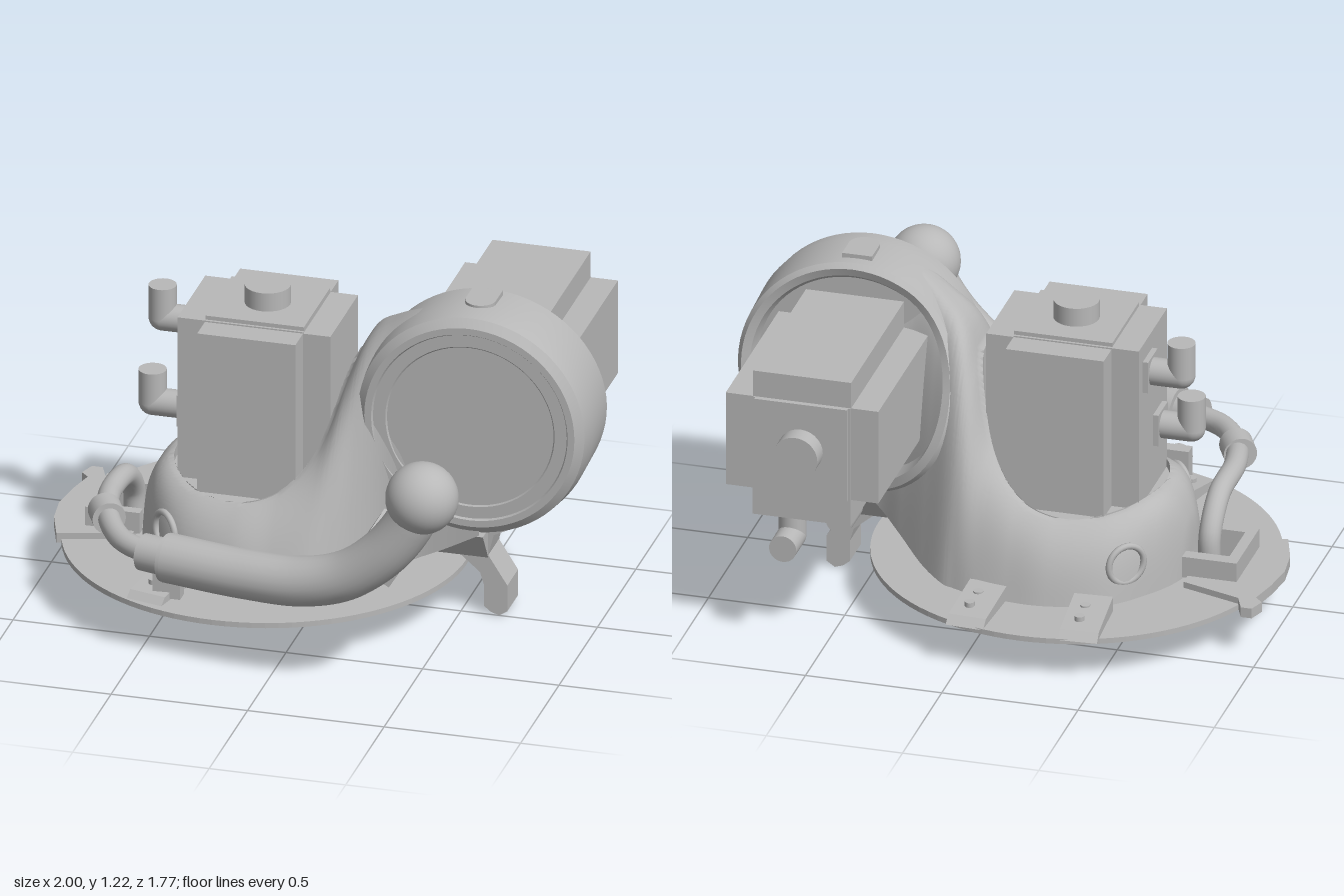
import * as THREE from 'three';
import { toCreasedNormals } from 'three/addons/utils/BufferGeometryUtils.js';

const V = (x, y, z) => new THREE.Vector3(x, y, z);

export function createModel() {
  const model = new THREE.Group();
  const grey = new THREE.MeshStandardMaterial({ color: 0xb8b8b8 });
  grey.name = 'castGrey';

  const add = (name, geo, parent = model) => {
    const m = new THREE.Mesh(geo, grey);
    m.name = name;
    parent.add(m);
    return m;
  };
  // Box given by its minimum and maximum corners
  const box = (name, a, b, parent) => {
    const m = add(name, new THREE.BoxGeometry(b[0] - a[0], b[1] - a[1], b[2] - a[2]), parent);
    m.position.set((a[0] + b[0]) / 2, (a[1] + b[1]) / 2, (a[2] + b[2]) / 2);
    return m;
  };
  // Cylinder between two points
  const rod = (name, a, b, r, parent) => {
    const d = b.clone().sub(a);
    const m = add(name, new THREE.CylinderGeometry(r, r, d.length(), 28), parent);
    m.position.copy(a).addScaledVector(d, 0.5);
    m.quaternion.setFromUnitVectors(V(0, 1, 0), d.normalize());
    return m;
  };
  const tube = (name, pts, r) =>
    add(name, new THREE.TubeGeometry(new THREE.CatmullRomCurve3(pts.map(p => V(...p))), 48, r, 20));
  const outline = pts => new THREE.Shape(pts.map(p => new THREE.Vector2(p[0], p[1])));
  const extrude = (shape, depth) =>
    new THREE.ExtrudeGeometry(shape, { depth, bevelEnabled: false, curveSegments: 48 });
  // Horizontal plate from a shape drawn in x and -z
  const slab = (name, shape, y, h) => {
    const m = add(name, extrude(shape, h).rotateX(-Math.PI / 2));
    m.position.y = y;
    return m;
  };

  // Base flange with its centre hole and connector slot
  const cx = -0.23, cz = -0.08;
  const slot = () => outline([[-0.82, 0.18], [-0.68, 0.18], [-0.68, -0.02], [-0.82, -0.02]]);
  const disc = r => {
    const s = new THREE.Shape().absarc(cx, -cz, r, 0, Math.PI * 2);
    s.holes.push(new THREE.Path().absarc(cx, -cz, 0.21, 0, Math.PI * 2, true));
    return s;
  };
  const flange = disc(0.728);
  flange.holes.push(slot());
  slab('baseFlange', flange, 0.145, 0.02);
  slab('baseSpigot', disc(0.45), 0.138, 0.01);

  // Connector plate on the right rim
  const plate = outline([[-0.68, 0.28], [-0.9, 0.35], [-0.93, 0.42], [-0.97, 0.42], [-0.99, 0.36],
    [-0.96, 0.33], [-0.985, 0.22], [-1, 0.1], [-0.985, -0.02], [-0.94, -0.15], [-0.68, -0.08]]);
  plate.holes.push(slot());
  slab('connectorPlate', plate, 0.15, 0.038);
  box('connectorBar', [-0.86, 0.18, 0.02], [-0.66, 0.26, 0.06]);
  box('connectorBar', [-0.86, 0.18, -0.23], [-0.66, 0.26, -0.18]);
  box('connectorBar', [-0.86, 0.18, -0.2], [-0.82, 0.26, 0.04]);

  // Wedge clamps and their bolts
  for (const [x, z, turn] of [[-0.43, -0.66, 0.06], [-0.03, -0.66, -0.06], [-0.47, 0.45, 2.9]]) {
    const clamp = new THREE.Group();
    clamp.name = 'flangeClamp';
    clamp.position.set(x, 0, z);
    clamp.rotation.y = turn;
    model.add(clamp);
    const wedge = extrude(outline([[-0.13, 0.16], [0.13, 0.16], [0.13, 0.22], [-0.1, 0.19]]), 0.14);
    wedge.rotateY(-Math.PI / 2).translate(0.07, 0, 0);
    add('clampWedge', wedge, clamp);
    for (const bz of [-0.03, 0.06])
      rod('clampBolt', V(0.015, 0.18, bz), V(0.015, 0.215, bz), 0.018, clamp);
  }

  // Swept body: x, bottom y, top y, then front and back z at bottom and at top
  const rows = [
    [-0.67, 0.16, 0.2, -0.06, -0.1, -0.06, -0.1],
    [-0.65, 0.16, 0.36, 0.06, -0.23, 0.02, -0.18],
    [-0.58, 0.16, 0.47, 0.19, -0.36, 0.15, -0.31],
    [-0.45, 0.16, 0.49, 0.33, -0.5, 0.26, -0.43],
    [-0.25, 0.16, 0.5, 0.4, -0.56, 0.32, -0.49],
    [-0.1, 0.16, 0.56, 0.39, -0.56, 0.29, -0.46],
    [0.02, 0.16, 0.69, 0.37, -0.54, 0.23, -0.4],
    [0.1, 0.16, 0.9, 0.31, -0.51, 0.17, -0.36],
    [0.16, 0.17, 1.02, 0.24, -0.48, 0.14, -0.3],
    [0.25, 0.19, 1.09, 0.17, -0.4, 0.12, -0.21],
    [0.36, 0.24, 1.15, 0.13, -0.29, 0.12, -0.13],
    [0.47, 0.29, 1.18, 0.12, -0.19, 0.12, -0.12],
    [0.6, 0.36, 1.19, 0.12, -0.14, 0.12, -0.12]];
  const curves = [[0, 1, 2], [3, 4, 5], [6, 6, 6]].map(c =>
    new THREE.CatmullRomCurve3(rows.map(r => V(r[c[0]], r[c[1]], r[c[2]])), false, 'catmullrom'));
  const pos = [], index = [], nu = 150, nv = 121, bore = 0.33;
  for (let i = 0; i <= nu; i++) {
    const [a, b, c] = curves.map(k => k.getPoint(i / nu));
    for (let j = 0; j < nv; j++) {
      const t = (j / (nv - 1)) * Math.PI, co = Math.cos(t);
      const u = Math.sign(co) * Math.abs(co) ** 0.6;
      const s = Math.max(0, Math.sin(t)) ** 0.6;
      const zf = b.x + (b.z - b.x) * s, zb = b.y + (c.x - b.y) * s;
      let x = a.x, y = a.y + (a.z - a.y) * s, z = (zf + zb) / 2 + (zf - zb) / 2 * u;
      // Bore for the turning motor: sink what lies inside, draw its edge onto the circle
      const r = Math.hypot(x - cx, z - cz);
      if (y > 0.44 && r < bore) {
        y = 0.44;
        if (r > bore - 0.012) {
          x = cx + (x - cx) * bore / r;
          z = cz + (z - cz) * bore / r;
        }
      } else if (y > 0.44 && r < bore + 0.012) {
        x = cx + (x - cx) * bore / r;
        z = cz + (z - cz) * bore / r;
      }
      pos.push(x, y, z);
    }
  }
  for (let i = 0; i < nu; i++) for (let j = 0; j < nv; j++) {
    const k = (j + 1) % nv, p = i * nv, q = p + nv;
    index.push(p + j, q + j, q + k, p + j, q + k, p + k);
  }
  const loft = new THREE.BufferGeometry();
  loft.setAttribute('position', new THREE.Float32BufferAttribute(pos, 3));
  loft.setIndex(index);
  add('castBody', toCreasedNormals(loft, 0.7));

  // Shoulder drum: covered in front, recessed behind, its rear rim flaring into the body
  const drum = new THREE.LatheGeometry([[0, -0.125], [0.355, -0.125], [0.37, -0.18], [0.4, -0.19],
    [0.417, -0.17], [0.425, 0.04], [0.415, 0.115], [0.385, 0.14], [0.36, 0.14], [0.355, 0.132],
    [0.31, 0.132], [0.305, 0.127], [0, 0.127]].map(p => new THREE.Vector2(...p)), 72);
  drum.rotateX(Math.PI / 2);
  const dp = drum.attributes.position;
  for (let i = 0; i < dp.count; i++) {
    const x = dp.getX(i), y = dp.getY(i), z = dp.getZ(i), r = Math.hypot(x, y);
    if (z > -0.15 || r < 0.36) continue;
    const flare = Math.max(0, (-0.85 * x - 0.53 * y) / r) ** 2;
    dp.setZ(i, z + 0.035 * Math.max(0, y / r) - 0.18 * flare);
  }
  add('shoulderDrum', toCreasedNormals(drum, 0.5)).position.set(0.57, 0.785, 0);
  box('drumPad', [0.515, 1.19, -0.1], [0.625, 1.218, 0.0]);
  rod('drumPad', V(0.57, 1.19, -0.01), V(0.57, 1.218, -0.01), 0.055);

  // Servo motor: axis up, plugs towards -x, top at the origin
  const motor = name => {
    const g = new THREE.Group();
    g.name = name;
    model.add(g);
    box('motorCore', [-0.28, -0.68, -0.18], [0.18, 0, 0.18], g);
    box('motorSidePlate', [0.18, -0.68, -0.18], [0.28, -0.005, 0.18], g);
    for (const s of [-1, 1])
      box('motorSidePlate', [-0.18, -0.68, s * 0.23 - 0.05], [0.18, -0.005, s * 0.23 + 0.05], g);
    box('motorLid', [-0.18, 0, -0.17], [0.18, 0.015, 0.17], g);
    rod('motorCap', V(0, 0, 0), V(0, 0.085, 0), 0.082, g);
    for (const [y, z] of [[-0.125, -0.07], [-0.395, 0.06]]) {
      box('plugFlange', [-0.3, y - 0.06, z - 0.06], [-0.28, y + 0.06, z + 0.06], g);
      rod('plugStub', V(-0.29, y, z), V(-0.405, y, z), 0.05, g);
      add('plugElbow', new THREE.SphereGeometry(0.05, 20, 14), g).position.set(-0.405, y, z);
      rod('plugSocket', V(-0.405, y, z), V(-0.405, y + 0.125, z), 0.05, g);
    }
    return g;
  };
  motor('turningMotor').position.set(cx, 1.06, cz);
  const swing = motor('swingMotor');
  swing.position.set(0.57, 0.79, -0.805);
  swing.setRotationFromMatrix(new THREE.Matrix4().makeBasis(V(0, 1, 0), V(0, 0, -1), V(-1, 0, 0)));

  // Round ports on the pedestal
  for (const s of [-1, 1]) {
    const port = add('pedestalPort', new THREE.TorusGeometry(0.07, 0.012, 10, 28));
    port.position.set(-0.51, 0.3, -0.08 + s * 0.34);
    port.rotation.y = s > 0 ? -Math.PI / 4 : -Math.PI * 0.75;
  }

  // Stop foot and gusset under the drum
  add('stopFoot', extrude(outline([[0.42, 0.25], [0.5, 0.22], [0.57, 0.16], [0.585, 0.11], [0.585, 0.03],
    [0.61, 0.01], [0.64, 0], [0.67, 0.02], [0.67, 0.12], [0.6, 0.23], [0.62, 0.31], [0.7, 0.35],
    [0.55, 0.4], [0.4, 0.35]]), 0.14)).position.z = -0.14;
  const gusset = extrude(outline([[-0.2, 0.33], [-0.14, 0.22], [0, 0.22], [0.07, 0.33]]), 0.2);
  add('footGusset', gusset.rotateY(-Math.PI / 2)).position.x = 0.6;

  // Stop block beside the drum
  const block = box('stopBlock', [0.2, 0.25, 0.1], [0.4, 0.42, 0.36]);
  block.rotation.z = -0.55;
  block.scale.set(0.85, 0.8, 1);

  // Thin cable, collars, padded hose and end ball
  tube('cable', [[-0.72, 0.17, -0.09], [-0.72, 0.29, -0.08], [-0.72, 0.39, 0.03], [-0.72, 0.41, 0.24],
    [-0.67, 0.4, 0.42], [-0.58, 0.39, 0.56], [-0.44, 0.385, 0.64]], 0.04);
  rod('cableCollar', V(-0.71, 0.4, 0.34), V(-0.67, 0.4, 0.42), 0.06);
  rod('hoseCollar', V(-0.49, 0.385, 0.62), V(-0.39, 0.385, 0.645), 0.067);
  rod('hoseEnd', V(-0.4, 0.385, 0.642), V(-0.38, 0.385, 0.646), 0.088);
  tube('paddedHose', [[-0.39, 0.385, 0.645], [-0.1, 0.38, 0.69], [0.12, 0.395, 0.725], [0.29, 0.45, 0.745],
    [0.43, 0.56, 0.755], [0.52, 0.68, 0.755], [0.57, 0.79, 0.755]], 0.09);
  add('endBall', new THREE.SphereGeometry(0.13, 32, 24)).position.set(0.57, 0.79, 0.755);

  // Clip that holds the cable to the base
  box('cableClip', [-0.48, 0.17, 0.48], [-0.38, 0.31, 0.53]);
  rod('clipBolt', V(-0.43, 0.26, 0.52), V(-0.43, 0.26, 0.55), 0.045);
  box('bodyLug', [-0.31, 0.21, 0.3], [-0.25, 0.31, 0.42]).rotation.z = -0.4;
  return model;
}
